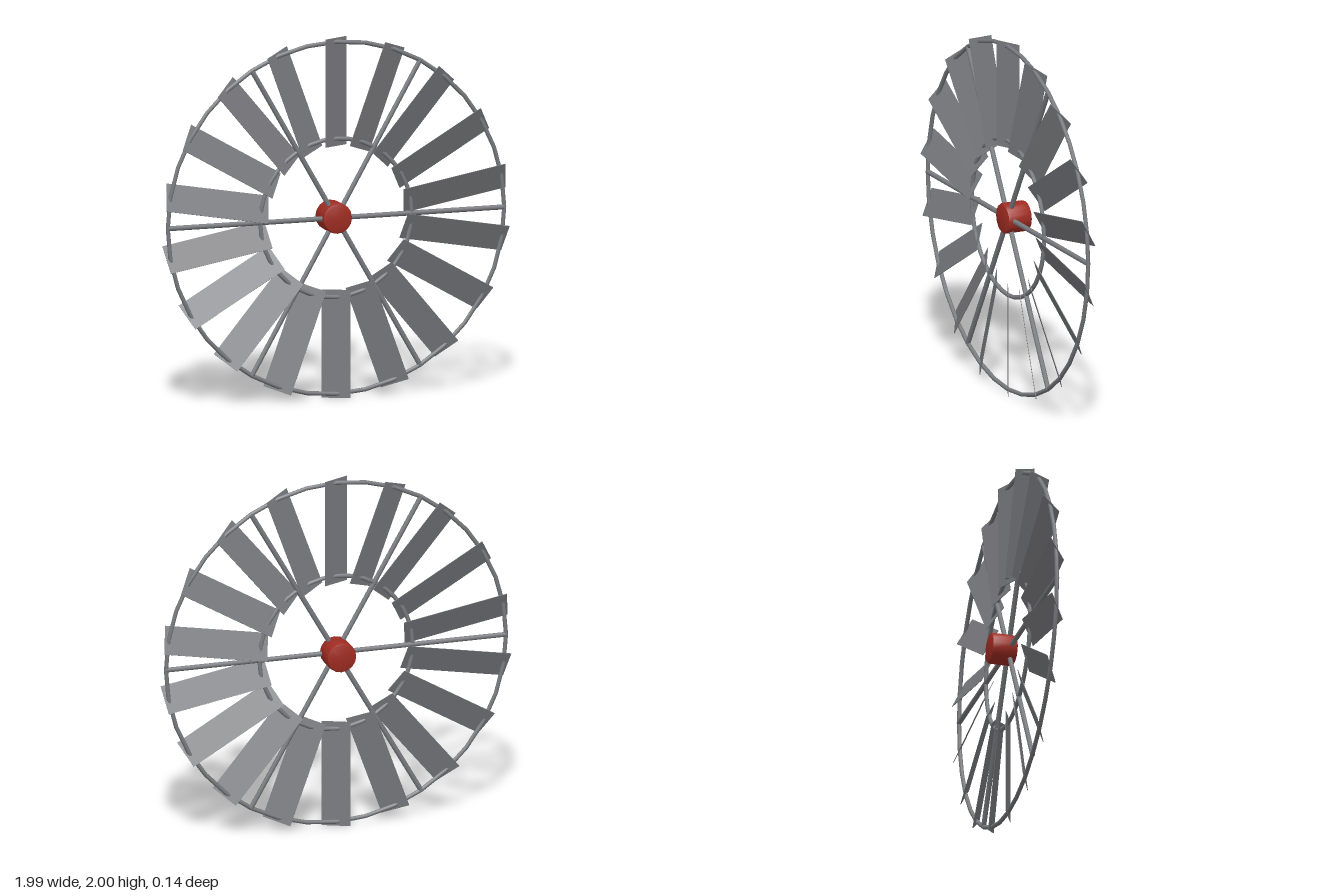
import * as THREE from 'three';
import { toCreasedNormals } from 'three/addons/utils/BufferGeometryUtils.js';

const CENTER_Y = 1;
const WHEEL_Z = 0.035; // plane of the rings, spokes and blade axes

export function createModel() {
  const model = new THREE.Group();
  model.name = 'windWheel';

  const steel = new THREE.MeshStandardMaterial({ color: 0x7a7b7f });
  steel.name = 'grey steel';
  const red = new THREE.MeshStandardMaterial({ color: 0xa02c22 });
  red.name = 'red paint';

  const wheel = new THREE.Group();
  wheel.name = 'wheel';
  wheel.position.set(0, CENTER_Y, WHEEL_Z);
  model.add(wheel);

  const add = (name, geometry, material, parent = wheel) => {
    const mesh = new THREE.Mesh(geometry, material);
    mesh.name = name;
    parent.add(mesh);
    return mesh;
  };

  // Pitched blades, one pointing straight up
  const bladeGeo = new THREE.BoxGeometry(0.16, 0.6, 0.003);
  bladeGeo.rotateY(Math.atan2(0.068, 0.145));
  bladeGeo.translate(0, 0.699, 0);
  const blades = new THREE.Group();
  blades.name = 'blades';
  wheel.add(blades);
  for (let i = 0; i < 18; i++) {
    add('blade', bladeGeo, steel, blades).rotation.z = (i * Math.PI) / 9;
  }

  // Rings that carry the blades
  add('outerRing', new THREE.TorusGeometry(0.977, 0.012, 8, 36), steel);
  add('innerRing', new THREE.TorusGeometry(0.44, 0.012, 8, 36), steel);

  // Six spokes from the hub to the outer ring
  const spokeGeo = new THREE.CylinderGeometry(0.014, 0.014, 0.95, 8);
  spokeGeo.translate(0, 0.505, 0);
  const spokes = new THREE.Group();
  spokes.name = 'spokes';
  wheel.add(spokes);
  for (let i = 0; i < 6; i++) {
    add('spoke', spokeGeo, steel, spokes).rotation.z = ((i + 0.5) * Math.PI) / 3;
  }

  // Hub with softened rims, reaching out behind the wheel
  const profile = [
    [0, -0.073], [0.073, -0.073], [0.081, -0.07], [0.085, -0.061],
    [0.085, 0.058], [0.081, 0.067], [0.073, 0.07], [0, 0.07],
  ].map(([r, h]) => new THREE.Vector2(r, h));
  const hubGeo = toCreasedNormals(new THREE.LatheGeometry(profile, 16), 0.7);
  hubGeo.rotateX(Math.PI / 2);
  add('hub', hubGeo, red, model).position.y = CENTER_Y;

  return model;
}
